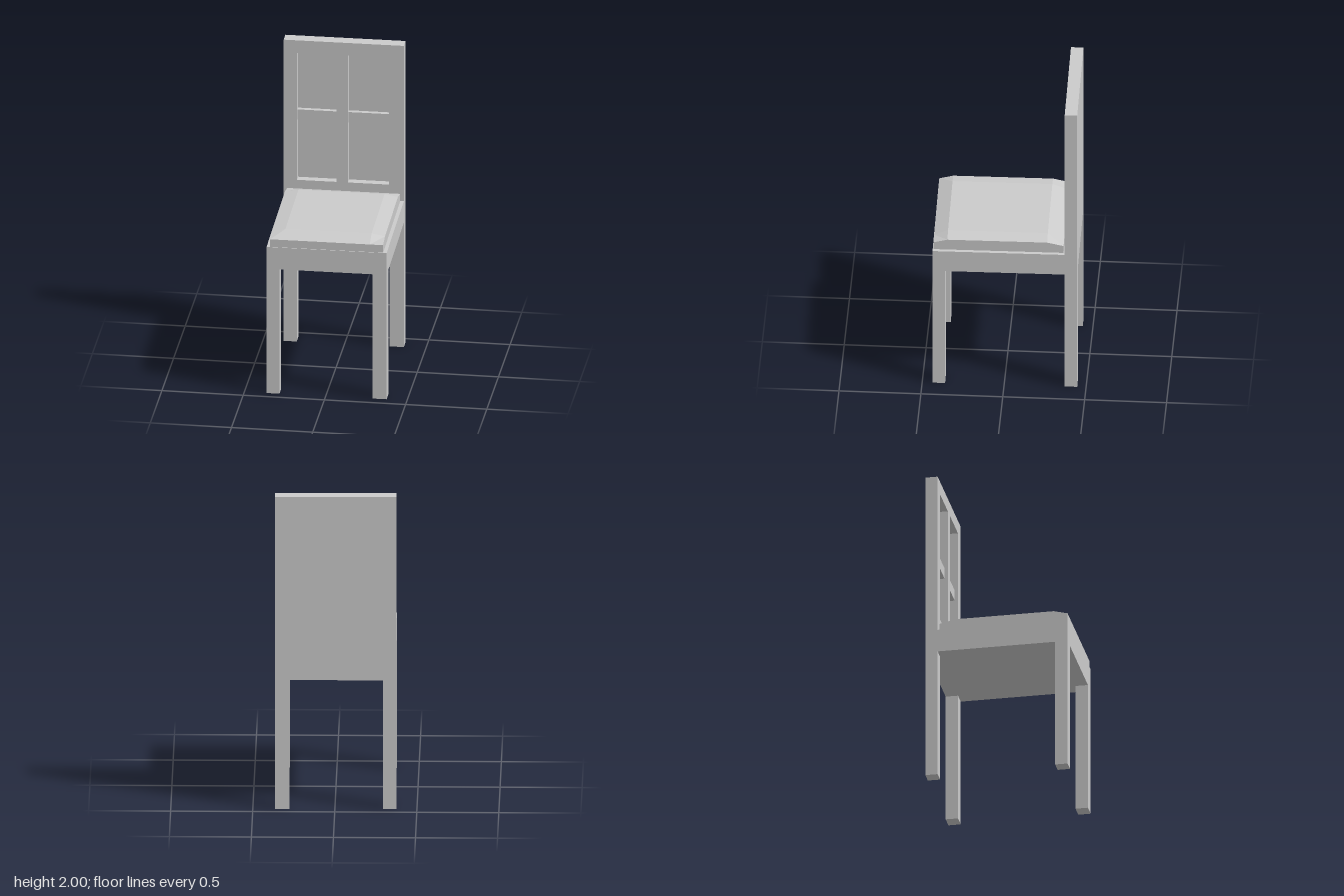
import * as THREE from 'three';

const W = 0.369, D = 0.4415;            // half width and half depth
const BACK_Z = -0.365;                  // front plane of the backrest
const SEAT_LOW = 0.825, SEAT_TOP = 0.97;

export function createModel() {
  const group = new THREE.Group();
  const material = new THREE.MeshStandardMaterial({ color: 0xcccccc, flatShading: true });

  function add(name, geometry) {
    const mesh = new THREE.Mesh(geometry, material);
    mesh.name = name;
    group.add(mesh);
    return mesh;
  }

  // Box given by its extents along each axis
  function block(name, x0, x1, y0, y1, z0, z1) {
    add(name, new THREE.BoxGeometry(x1 - x0, y1 - y0, z1 - z0))
      .position.set((x0 + x1) / 2, (y0 + y1) / 2, (z0 + z1) / 2);
  }

  // Legs: the left pair is slightly wider than the right pair
  for (const [side, x0, x1] of [['Right', -W, -W + 0.08], ['Left', W - 0.088, W]]) {
    block('front' + side + 'Leg', x0, x1, 0, SEAT_LOW, D - 0.077, D);
    block('back' + side + 'Leg', x0, x1, 0, SEAT_LOW, -D, BACK_Z);
  }

  // Seat base
  block('seatBase', -W, W, SEAT_LOW, SEAT_TOP, BACK_Z, D);

  // Backrest: solid rear panel, with a front frame holding two tall openings
  const floorZ = -0.413;
  const openings = [[-0.287, -0.044], [0.025, 0.279]];
  const low = 1.074, high = 1.916;
  block('backPanel', -W, W, SEAT_LOW, 2, -D, floorZ);

  const rectangle = (Type, x0, x1, y0, y1) => new Type([
    new THREE.Vector2(x0, y0), new THREE.Vector2(x1, y0),
    new THREE.Vector2(x1, y1), new THREE.Vector2(x0, y1),
  ]);
  const frame = rectangle(THREE.Shape, -W, W, SEAT_LOW, 2);
  for (const [x0, x1] of openings) frame.holes.push(rectangle(THREE.Path, x0, x1, low, high));
  add('backFrame', new THREE.ExtrudeGeometry(frame, { depth: BACK_Z - floorZ, bevelEnabled: false }))
    .position.z = floorZ;

  // Crossbars set back inside the openings
  for (const [x0, x1] of openings) block('crossbar', x0, x1, 1.465, 1.533, floorZ, -0.385);

  // Cushion: gently crowned top, sloping most at the front and back
  const xs = [-0.347, -0.265, 0.265, 0.347];
  const zs = [-0.357, -0.257, 0.352, 0.437];
  const cushion = new THREE.BoxGeometry(3, 1, 3, 3, 1, 3);
  const p = cushion.attributes.position;
  for (let n = 0; n < p.count; n++) {
    const i = Math.round(p.getX(n) + 1.5), k = Math.round(p.getZ(n) + 1.5);
    const sideEdge = i === 0 || i === 3, endEdge = k === 0 || k === 3;
    const top = endEdge ? 1.02 : sideEdge ? 1.042 : 1.057;
    p.setXYZ(n, xs[i], p.getY(n) > 0 ? top : SEAT_TOP, zs[k]);
  }
  cushion.computeVertexNormals();
  add('cushion', cushion);

  // The whole chair stands turned very slightly
  group.rotation.y = 0.012;
  return group;
}
